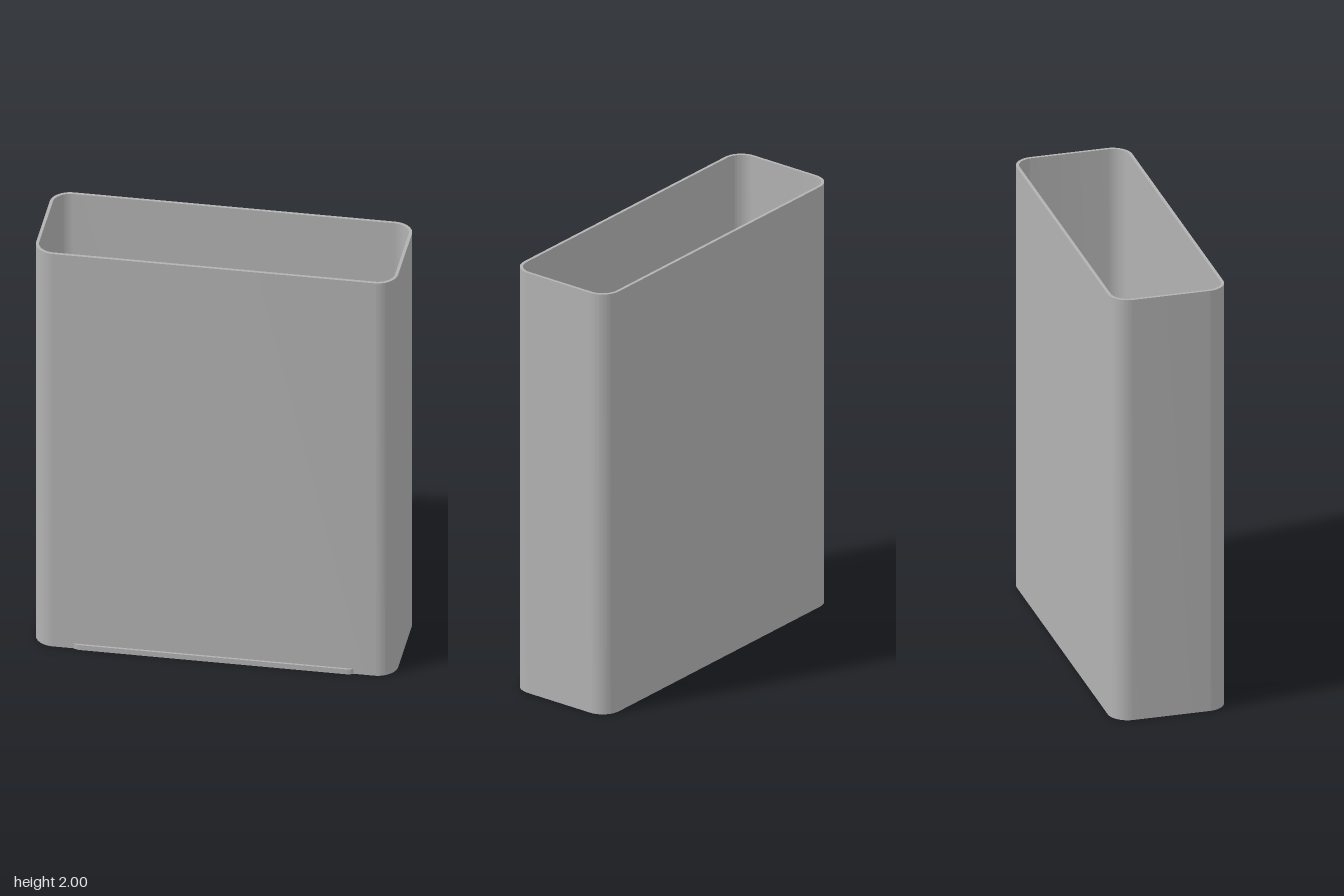
import * as THREE from 'three';
import { toCreasedNormals } from 'three/addons/utils/BufferGeometryUtils.js';

// Traces a centred rounded rectangle onto a Shape or Path
function roundedRect(path, width, depth, r) {
  const x = width / 2, y = depth / 2;
  path.moveTo(x, -y + r);
  path.lineTo(x, y - r);
  path.absarc(x - r, y - r, r, 0, Math.PI / 2);
  path.lineTo(-x + r, y);
  path.absarc(-x + r, y - r, r, Math.PI / 2, Math.PI);
  path.lineTo(-x, -y + r);
  path.absarc(-x + r, -y + r, r, Math.PI, Math.PI * 1.5);
  path.lineTo(x - r, -y);
  path.absarc(x - r, -y + r, r, Math.PI * 1.5, Math.PI * 2);
  return path;
}

// Extrudes a footprint upwards from y = 0, smoothing only the rounded corners
function upright(name, shape, height, z, material) {
  const extruded = new THREE.ExtrudeGeometry(shape, { depth: height, bevelEnabled: false, curveSegments: 12 });
  extruded.rotateX(-Math.PI / 2);
  const mesh = new THREE.Mesh(toCreasedNormals(extruded, 0.5), material);
  mesh.name = name;
  mesh.position.z = z;
  return mesh;
}

export function createModel() {
  const group = new THREE.Group();
  group.name = 'openSleeve';
  const grey = new THREE.MeshStandardMaterial({ color: 0xb2b2b2 });
  grey.name = 'grey';

  // Thin-walled sleeve, open at the top and bottom
  const wall = 0.014, width = 1.6, depth = 0.524, radius = 0.09;
  const outline = roundedRect(new THREE.Shape(), width, depth, radius);
  outline.holes.push(roundedRect(new THREE.Path(), width - 2 * wall, depth - 2 * wall, radius - wall));
  group.add(upright('sleeve', outline, 2, -0.005, grey));

  // Small ledge at the foot, poking slightly through the front wall
  const ledge = roundedRect(new THREE.Shape(), 1.276, 0.126, 0.05);
  group.add(upright('bottomLedge', ledge, 0.025, 0.204, grey));

  return group;
}
